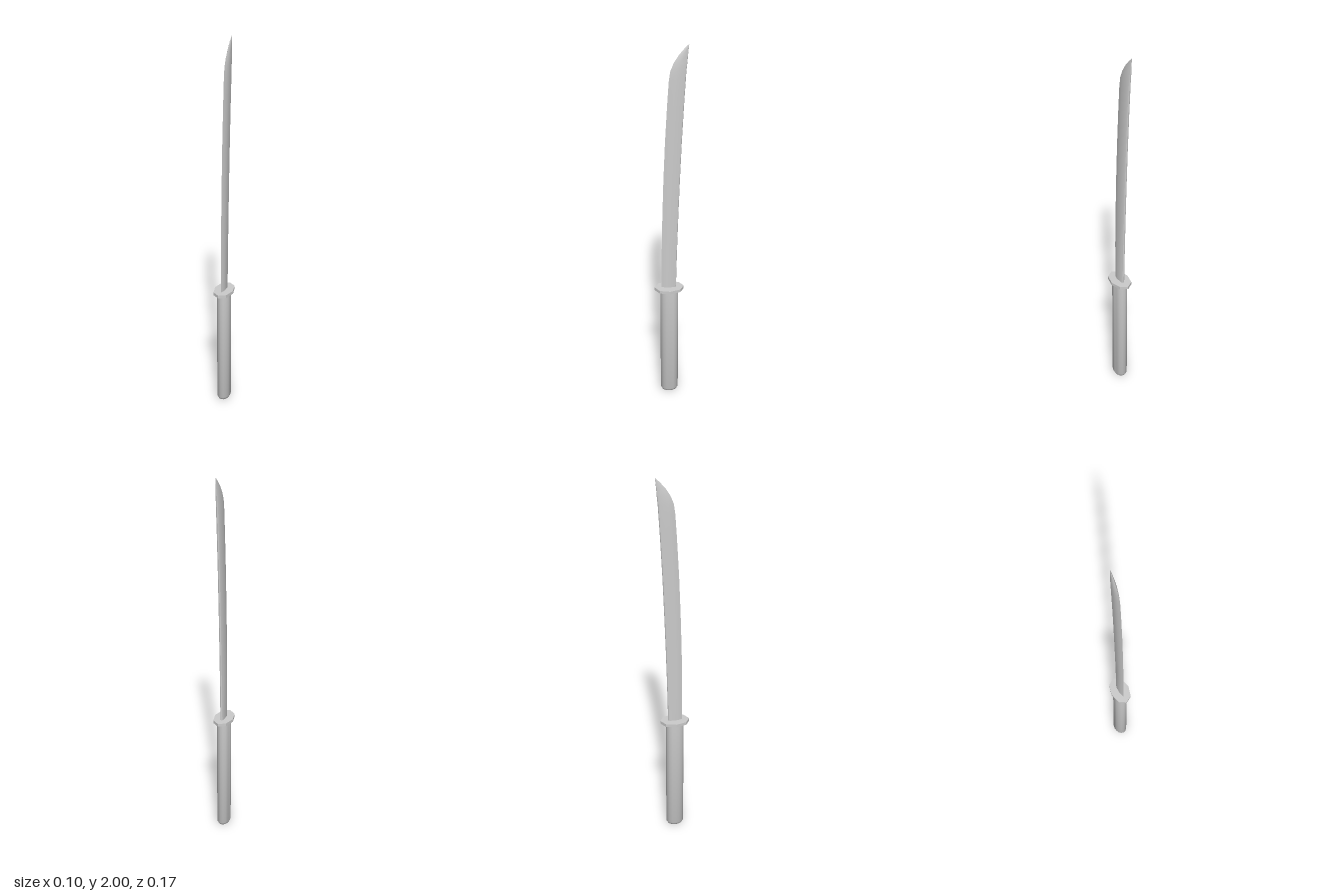
import * as THREE from 'three';
import { toCreasedNormals } from 'three/addons/utils/BufferGeometryUtils.js';

const material = new THREE.MeshStandardMaterial({ color: 0xcccccc });
const CENTER_Z = 0.0085;

// Joins equal-length rings of [x, y, z] (counter-clockwise seen from above) and caps both ends.
function loft(rings, crease) {
  const n = rings[0].length;
  const index = [];
  for (let r = 0; r < rings.length - 1; r++) {
    for (let i = 0; i < n; i++) {
      const a = r * n + i, b = r * n + (i + 1) % n;
      index.push(a, b, b + n, a, b + n, a + n);
    }
  }
  const top = (rings.length - 1) * n;
  for (let i = 1; i < n - 1; i++) {
    index.push(0, i + 1, i, top, top + i, top + i + 1);
  }
  const geometry = new THREE.BufferGeometry();
  geometry.setAttribute('position', new THREE.Float32BufferAttribute(rings.flat(2), 3));
  geometry.setIndex(index);
  return toCreasedNormals(geometry, crease);
}

// Oval ring around the grip axis
function oval(y, rx, rz, sides) {
  return Array.from({ length: sides }, (_, i) => {
    const a = (i / sides) * Math.PI * 2;
    return [rx * Math.cos(a), y, CENTER_Z - rz * Math.sin(a)];
  });
}

// Blade section: sharp edge at the front, rounded spine at the back
function bladeRing([y, front, back, half, rise = 0]) {
  const w = front - back;
  const side = [[0.45, 0.33], [0.85, 0.18], [1, 0.33], [1, 0.65], [0.96, 0.85]];
  const section = [
    [0, 0],
    ...[[0.5, 0.16], [1, 0.36], [1, 0.86], [0.6, 0.97]],
    [0, 1],
    ...[[-0.6, 0.97], [-1, 0.86], [-1, 0.36], [-0.5, 0.16]],
  ];
  return section.map(([x, t]) => [x * half, y + rise * t, front - w * t]);
}

export function createModel() {
  const group = new THREE.Group();
  const add = (name, geometry) => {
    const mesh = new THREE.Mesh(geometry, material);
    mesh.name = name;
    group.add(mesh);
  };

  // Oval grip with a rounded pommel end
  add('handle', loft([
    oval(0, 0.02, 0.03, 16),
    oval(0.008, 0.029, 0.04, 16),
    oval(0.022, 0.035, 0.047, 16),
    oval(0.665, 0.035, 0.047, 16),
  ], 0.75));

  // Thin eight-sided hand guard
  add('guard', loft([
    oval(0.662, 0.051, 0.0765, 8),
    oval(0.678, 0.051, 0.0765, 8),
  ], 0.5));

  // Gently curved blade: y, front z, back z, half thickness
  add('blade', loft([
    [0.67, 0.048, -0.027, 0.009],
    [0.9, 0.047, -0.032, 0.009],
    [1.1, 0.043, -0.038, 0.009],
    [1.3, 0.037, -0.045, 0.009],
    [1.5, 0.029, -0.053, 0.009],
    [1.7, 0.018, -0.063, 0.009],
    [1.82, 0.01, -0.07, 0.009],
    [1.87, 0.003, -0.073, 0.0085],
    [1.91, -0.013, -0.077, 0.0075],
    [1.95, -0.038, -0.08, 0.005],
    [1.98, -0.064, -0.083, 0.0025],
    [2.0, -0.0845, -0.085, 0.0003],
  ].map(bladeRing), 0.6));

  return group;
}
